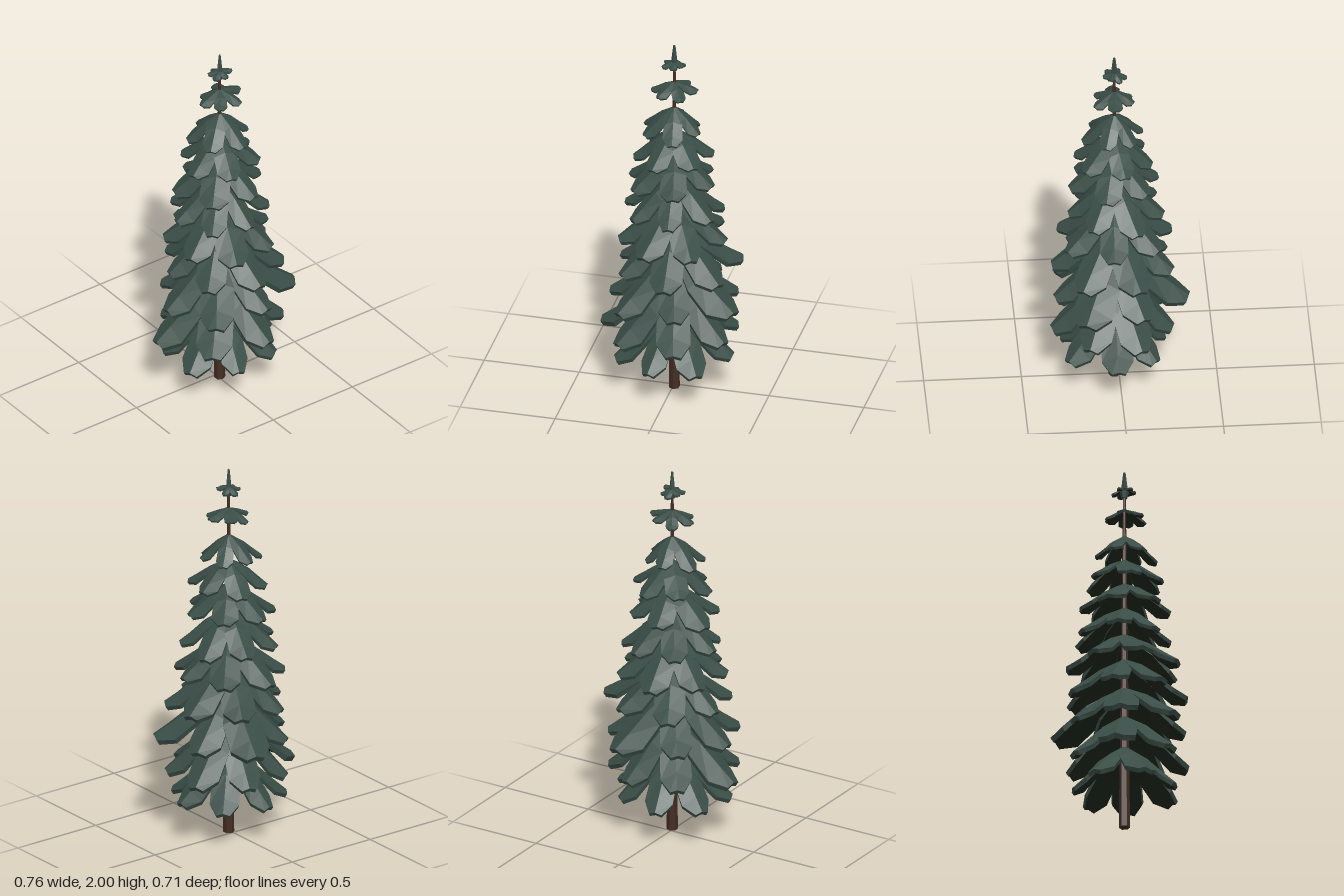
import * as THREE from 'three';

const CX = 0.008, CZ = 0.025; // trunk axis

const needles = new THREE.MeshStandardMaterial({ color: 0x394c46, flatShading: true });
needles.name = 'needleGreen';
const shade = new THREE.MeshStandardMaterial({ color: 0x1e251b, flatShading: true });
shade.name = 'undersideOlive';
const bark = new THREE.MeshStandardMaterial({ color: 0x432d23, flatShading: true });
bark.name = 'barkBrown';

// Small seeded generator, returns -1..1
function seeded(seed) {
  let s = seed;
  return () => {
    s = (s * 16807) % 2147483647;
    return (s / 2147483647) * 2 - 1;
  };
}

// One folded, drooping bough along +x; the top and rim are green, the underside dark
function boughGeometry(r, drop, width, bend) {
  // along, fall, half width, sag of the side edges
  const stations = [
    [0, 0, 0.03, 0.01],
    [0.45, 0.38, 0.24, 0.09],
    [0.78, 0.76, 0.255, 0.12],
    [1, 1, 0.115, 0.04],
  ];
  const th = Math.max(0.065 * r, 0.01);
  const rings = stations.map(([t, f, w, s]) => {
    const x = t * r, y = -f * drop, hw = w * r * width, ys = y - s * r;
    const skew = bend * t * t * r;
    return [
      [x * 0.99, ys, skew - hw], [x, y, skew], [x * 0.99, ys, skew + hw],
      [x * 0.95, ys - th, skew + hw * 0.92], [x * 0.96, y - th, skew], [x * 0.95, ys - th, skew - hw * 0.92],
    ];
  });
  const top = [], under = [];
  for (let i = 0; i < rings.length - 1; i++) {
    for (let j = 0; j < 6; j++) {
      const k = (j + 1) % 6;
      const a = rings[i][j], b = rings[i][k], c = rings[i + 1][k], d = rings[i + 1][j];
      (j === 3 || j === 4 ? under : top).push(...a, ...b, ...c, ...a, ...c, ...d);
    }
  }
  // Blunt tip
  const [l, c, rt, rb, cb, lb] = rings[rings.length - 1];
  top.push(...l, ...c, ...cb, ...l, ...cb, ...lb, ...c, ...rt, ...rb, ...c, ...rb, ...cb);
  const g = new THREE.BufferGeometry();
  g.setAttribute('position', new THREE.Float32BufferAttribute([...top, ...under], 3));
  g.addGroup(0, top.length / 3, 0);
  g.addGroup(top.length / 3, under.length / 3, 1);
  g.computeVertexNormals();
  return g;
}

// apex y, tip y, first angle in degrees, reach of each bough in turn from +x towards +z
const TIERS = [
  [0.46, 0.19, 2, [0.31, 0.30, 0.28, 0.31, 0.30, 0.27, 0.28]],
  [0.63, 0.33, 28, [0.33, 0.335, 0.35, 0.385, 0.31, 0.31, 0.33]],
  [0.79, 0.52, 27, [0.39, 0.32, 0.36, 0.335, 0.31, 0.39, 0.33]],
  [0.95, 0.71, -17, [0.355, 0.33, 0.325, 0.31, 0.29, 0.30, 0.32]],
  [1.09, 0.87, 5, [0.28, 0.29, 0.30, 0.29, 0.29, 0.30, 0.29]],
  [1.24, 1.03, 30, [0.255, 0.24, 0.25, 0.26, 0.26, 0.26, 0.26]],
  [1.375, 1.20, 15, [0.22, 0.24, 0.245, 0.25, 0.23, 0.22]],
  [1.51, 1.35, -12, [0.205, 0.21, 0.21, 0.21, 0.20, 0.20]],
  [1.645, 1.50, 20, [0.15, 0.17, 0.17, 0.175, 0.15, 0.14]],
  [1.79, 1.73, 0, [0.125, 0.12, 0.115, 0.12, 0.105, 0.11]],
  [1.91, 1.885, 25, [0.065, 0.06, 0.068, 0.062, 0.066, 0.06]],
];

function tier([apex, tip, start, reaches], index) {
  const group = new THREE.Group();
  group.name = 'boughTier' + (index + 1);
  group.position.set(CX, apex, CZ);
  const rnd = seeded(977 + index * 131);
  const count = reaches.length;
  reaches.forEach((r, i) => {
    const drop = apex - tip - 0.09 * r + 0.014 * rnd();
    const width = (count === 6 ? 1.2 : 1.03) * (1 + 0.06 * rnd());
    const bough = new THREE.Mesh(boughGeometry(r, drop, width, 0.03 * rnd()), [needles, shade]);
    bough.name = 'bough';
    bough.rotation.y = -THREE.MathUtils.degToRad(start + (i * 360) / count + rnd() * 2);
    group.add(bough);
  });
  return group;
}

// Upright tapered stem between two heights
function stem(name, y0, y1, r0, r1, sides, material) {
  const mesh = new THREE.Mesh(new THREE.CylinderGeometry(r1, r0, y1 - y0, sides), material);
  mesh.name = name;
  mesh.position.set(CX, (y0 + y1) / 2, CZ);
  return mesh;
}

export function createModel() {
  const tree = new THREE.Group();
  tree.name = 'pineTree';

  // Trunk, bud collar and leading shoot
  tree.add(stem('trunk', 0, 1.88, 0.029, 0.007, 6, bark));
  tree.add(stem('budCollar', 1.855, 1.89, 0.015, 0.024, 6, needles));
  tree.add(stem('topShoot', 1.88, 2, 0.02, 0.006, 4, needles));

  TIERS.forEach((t, i) => tree.add(tier(t, i)));
  return tree;
}
